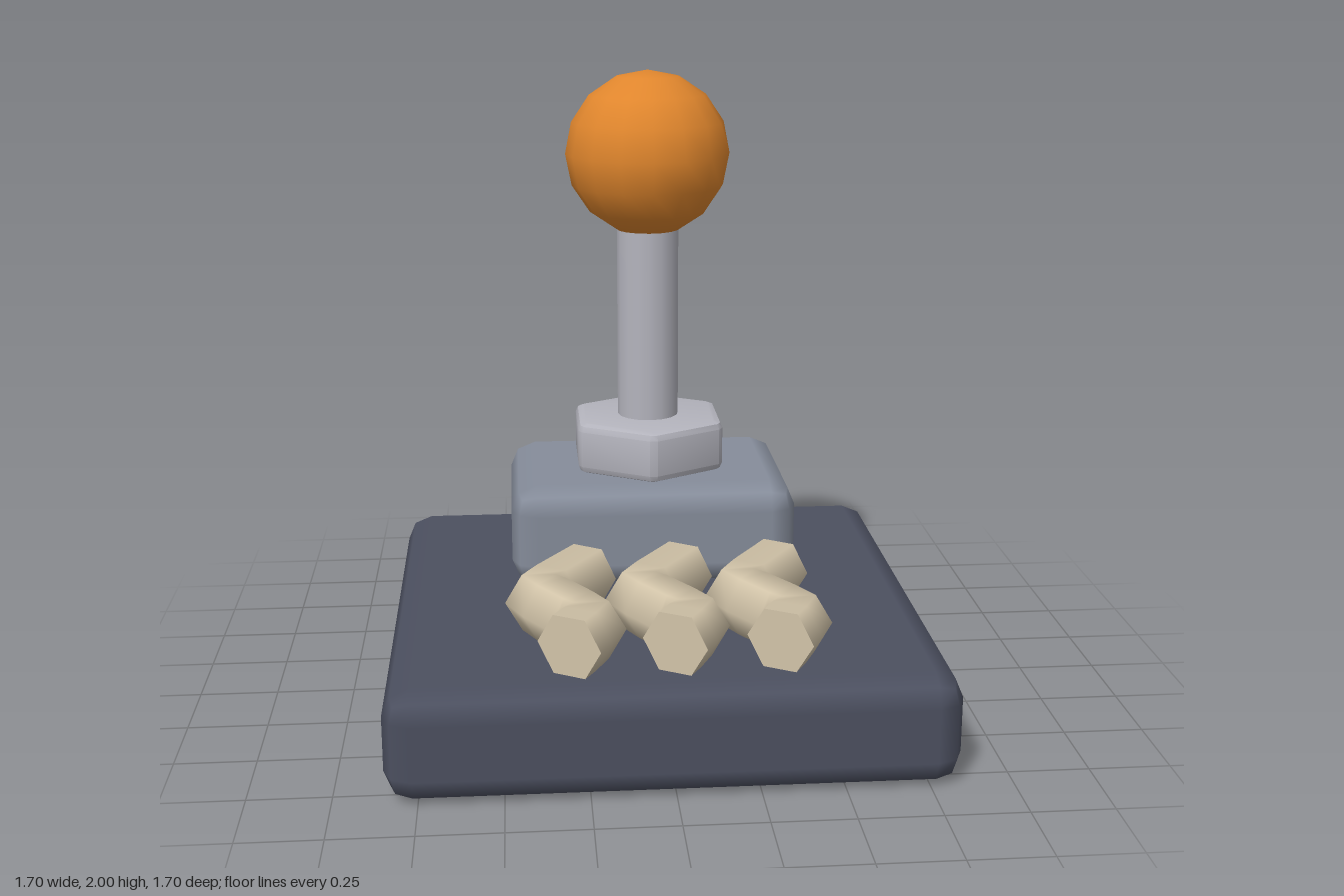
import * as THREE from 'three';
import { toCreasedNormals } from 'three/addons/utils/BufferGeometryUtils.js';
import { RoundedBoxGeometry } from 'three/addons/geometries/RoundedBoxGeometry.js';

const STICK_Z = -0.3;

function material(name, color) {
  const m = new THREE.MeshStandardMaterial({ color });
  m.name = name;
  return m;
}

// Hexagon with slightly clipped corners, one corner pointing along y
function hexShape(radius, clip) {
  const corner = (i) => new THREE.Vector2(Math.sin((i * Math.PI) / 3), Math.cos((i * Math.PI) / 3)).multiplyScalar(radius);
  const points = [];
  for (let i = 6; i > 0; i--) {
    const c = corner(i);
    for (const n of [corner(i + 1), corner(i - 1)]) {
      points.push(c.clone().add(n.sub(c).setLength(clip)));
    }
  }
  return new THREE.Shape(points);
}

// Six-sided rod bent along a zigzag on the ground plane
function zigzagGeometry(radius) {
  const corners = [[0.08, 0.15], [-0.08, 0.39], [0.07, 0.625], [0, 0.745]].map(([x, z]) => new THREE.Vector3(x, 0, z));
  const steps = [4, 4, 2];
  const path = [corners[0]];
  steps.forEach((n, s) => {
    for (let i = 1; i <= n; i++) path.push(corners[s].clone().lerp(corners[s + 1], i / n));
  });
  const last = path.length - 1;
  const up = new THREE.Vector3(0, 1, 0);
  const frames = path.map((p, i) => {
    const tangent = path[Math.min(i + 1, last)].clone().sub(path[Math.max(i - 1, 0)]).normalize();
    const side = up.clone().cross(tangent);
    return new THREE.Matrix4().makeBasis(up, tangent, side).setPosition(p);
  });

  const geometry = new THREE.CylinderGeometry(radius, radius, 1, 6, last);
  const pos = geometry.attributes.position;
  const nor = geometry.attributes.normal;
  const v = new THREE.Vector3();
  for (let i = 0; i < pos.count; i++) {
    v.fromBufferAttribute(pos, i);
    const frame = frames[Math.round((v.y + 0.5) * last)];
    v.setY(0).applyMatrix4(frame);
    pos.setXYZ(i, v.x, v.y, v.z);
    v.fromBufferAttribute(nor, i).transformDirection(frame);
    nor.setXYZ(i, v.x, v.y, v.z);
  }
  return geometry;
}

export function createModel() {
  const group = new THREE.Group();
  const slate = material('dark slate', 0x4c5060);
  const grey = material('blue grey', 0x868d9b);
  const metal = material('light metal', 0xb4b4bd);
  const orange = material('orange', 0xe0862d);
  const beige = material('beige', 0xd2c4a9);

  function add(name, geometry, mat, x, y, z) {
    const mesh = new THREE.Mesh(geometry, mat);
    mesh.name = name;
    mesh.position.set(x, y, z);
    group.add(mesh);
  }

  // Base plate and the block that carries the stick
  add('base', new RoundedBoxGeometry(1.7, 0.34, 1.7, 1, 0.085), slate, 0, 0.17, 0);
  add('block', new RoundedBoxGeometry(0.935, 0.34, 0.675, 1, 0.085), grey, 0, 0.51, STICK_Z);

  // Bevelled hexagonal nut
  const bevel = 0.025;
  const nut = new THREE.ExtrudeGeometry(hexShape(0.278, 0.015), {
    depth: 0.17 - 2 * bevel, bevelThickness: bevel, bevelSize: bevel, bevelOffset: -bevel, bevelSegments: 2,
  });
  nut.translate(0, 0, bevel).rotateX(-Math.PI / 2);
  add('nut', toCreasedNormals(nut, 0.6), metal, 0, 0.68, STICK_Z);

  // Stick and ball knob
  add('shaft', new THREE.CylinderGeometry(0.102, 0.102, 0.69, 16), metal, 0, 1.185, STICK_Z);
  add('knob', new THREE.SphereGeometry(0.27, 16, 8), orange, 0, 1.73, STICK_Z);

  // Row of three zigzag rods in front of the stick
  const zigzag = zigzagGeometry(0.104);
  for (const i of [-1, 0, 1]) add('zigzagRod', zigzag, beige, i * 0.307, 0.444, 0);

  return group;
}
